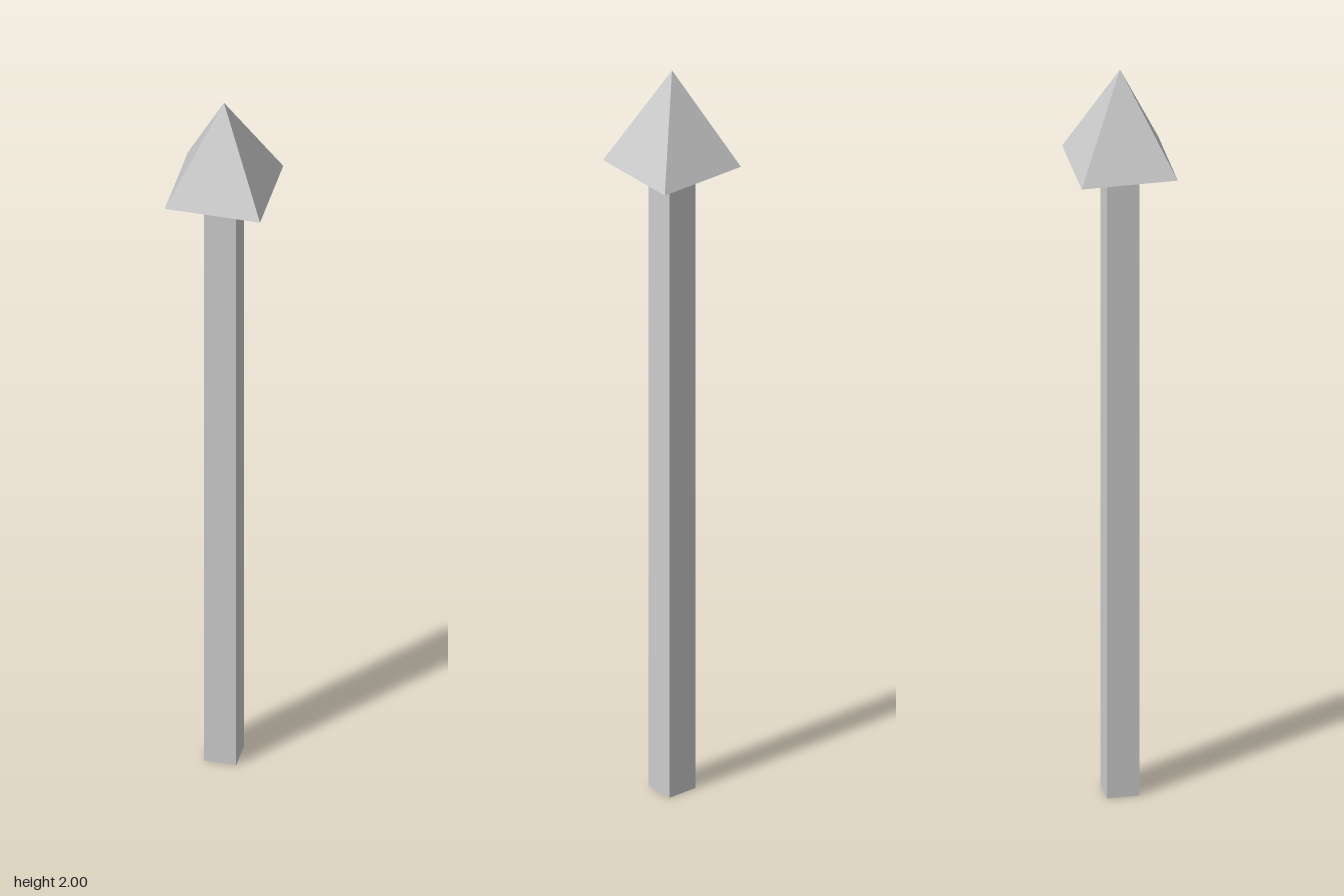
import * as THREE from 'three';

export function createModel() {
  const group = new THREE.Group();
  const material = new THREE.MeshStandardMaterial({ color: 0xcccccc, flatShading: true });
  const headBase = 1.74, headHalf = 0.121, shaftWidth = 0.082;

  // Square shaft standing on the ground
  const shaft = new THREE.Mesh(new THREE.BoxGeometry(shaftWidth, headBase, shaftWidth), material);
  shaft.name = 'shaft';
  shaft.position.y = headBase / 2;
  group.add(shaft);

  // Four-sided pyramid tip, turned so its sides line up with the shaft
  const headHeight = 2 - headBase;
  const headGeometry = new THREE.ConeGeometry(headHalf * Math.SQRT2, headHeight, 4);
  headGeometry.rotateY(Math.PI / 4);
  const head = new THREE.Mesh(headGeometry, material);
  head.name = 'arrowHead';
  head.position.y = headBase + headHeight / 2;
  group.add(head);

  return group;
}
